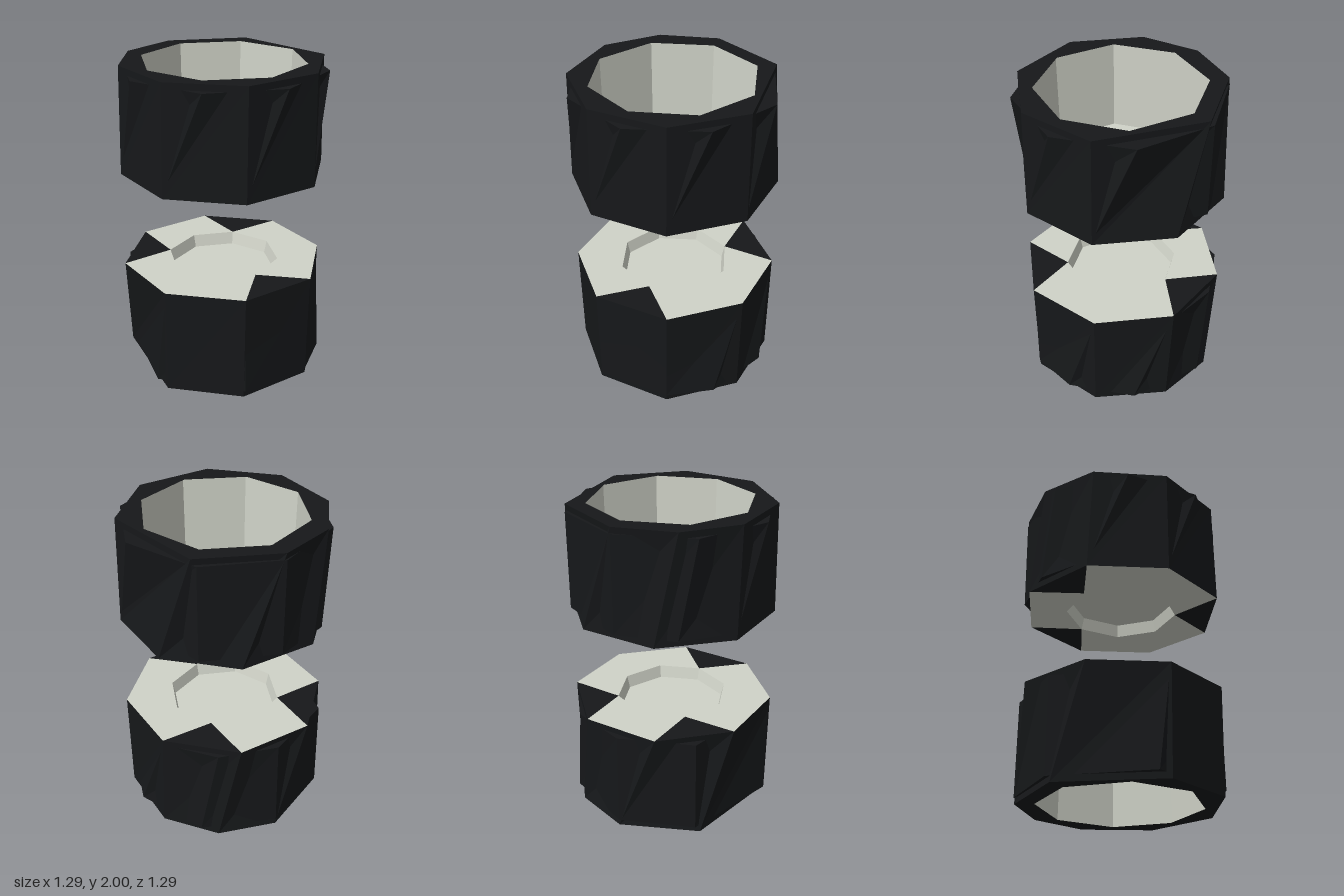
import * as THREE from 'three';

const dark = new THREE.MeshStandardMaterial({ color: 0x16181a, flatShading: true });
const light = new THREE.MeshStandardMaterial({ color: 0xd0d3c8, flatShading: true });

// Eight evenly spaced angles in degrees, turning from +x towards +z
const even = (offset) => Array.from({ length: 8 }, (_, i) => offset + 45 * i);

// Ring of points at a height
const ring = (angles, radius, y) => angles.map((a) => {
  const t = THREE.MathUtils.degToRad(a);
  return [radius * Math.cos(t), y, radius * Math.sin(t)];
});

// Zigzag band of triangles between two rings; keep(i, half) selects triangles
function band(a, b, keep = () => true) {
  const out = [];
  a.forEach((_, i) => {
    const j = (i + 1) % a.length;
    if (keep(i, 0)) out.push(a[i], b[i], a[j]);
    if (keep(i, 1)) out.push(b[i], b[j], a[j]);
  });
  return out;
}

function mesh(name, material, ...bands) {
  const geometry = new THREE.BufferGeometry();
  geometry.setAttribute('position', new THREE.Float32BufferAttribute(bands.flat(2), 3));
  geometry.computeVertexNormals();
  const m = new THREE.Mesh(geometry, material);
  m.name = name;
  return m;
}

// Open cup with its closed end down at y = 1.31 and its mouth at y = 2
function cup(name, bulgeAngles) {
  const group = new THREE.Group();
  group.name = name;

  const base = ring(even(22.5), 0.65, 1.31);
  const rim = ring([22, 67, 112, 157, 200, 235, 270, 318], 0.64, 2);
  const mouth = ring(even(2), 0.52, 2);

  // Outer wall and flat rim
  group.add(mesh('outerWall', dark, band(base, rim), band(rim, mouth)));

  // Second, twisted wall that bulges through the first
  const baseAngles = [22, 67, 112, 157, 202, 235, 270, 315];
  const low = ring(baseAngles, 0.64, 1.35);
  const high = ring(bulgeAngles, 0.645, 1.96);
  group.add(mesh('twistedWall', dark,
    band(low, high),
    band(high, ring(bulgeAngles, 0.55, 1.96)),
    band(ring(baseAngles, 0.55, 1.35), low)));

  // Pale lining with its floor
  const floor = ring(even(2), 0.51, 1.43);
  group.add(mesh('lining', light, band(mouth, floor), band(floor, ring(even(2), 0, 1.43))));

  // Closed end: pale face with three dark triangles
  const hole = ring(even(0), 0.36, 1.31);
  const isDark = (i, half) => half === 1 && [1, 4, 6].includes(i);
  group.add(mesh('endFace', light, band(hole, base, (i, h) => !isDark(i, h))));
  group.add(mesh('endFaceTriangles', dark, band(hole, base, isDark)));

  // Shallow recess in the closed end
  const recess = ring(even(0), 0.34, 1.39);
  group.add(mesh('endRecess', light,
    band(recess, hole), band(ring(even(0), 0, 1.39), recess)));
  return group;
}

export function createModel() {
  const model = new THREE.Group();
  model.name = 'cupPair';

  const upper = cup('upperCup', even(0));
  const lower = cup('lowerCup', [15, 68, 112, 140, 180, 225, 270, 315]);
  // Lower cup is turned upside down
  lower.rotation.z = Math.PI;
  lower.position.y = 2;

  model.add(upper, lower);
  return model;
}
